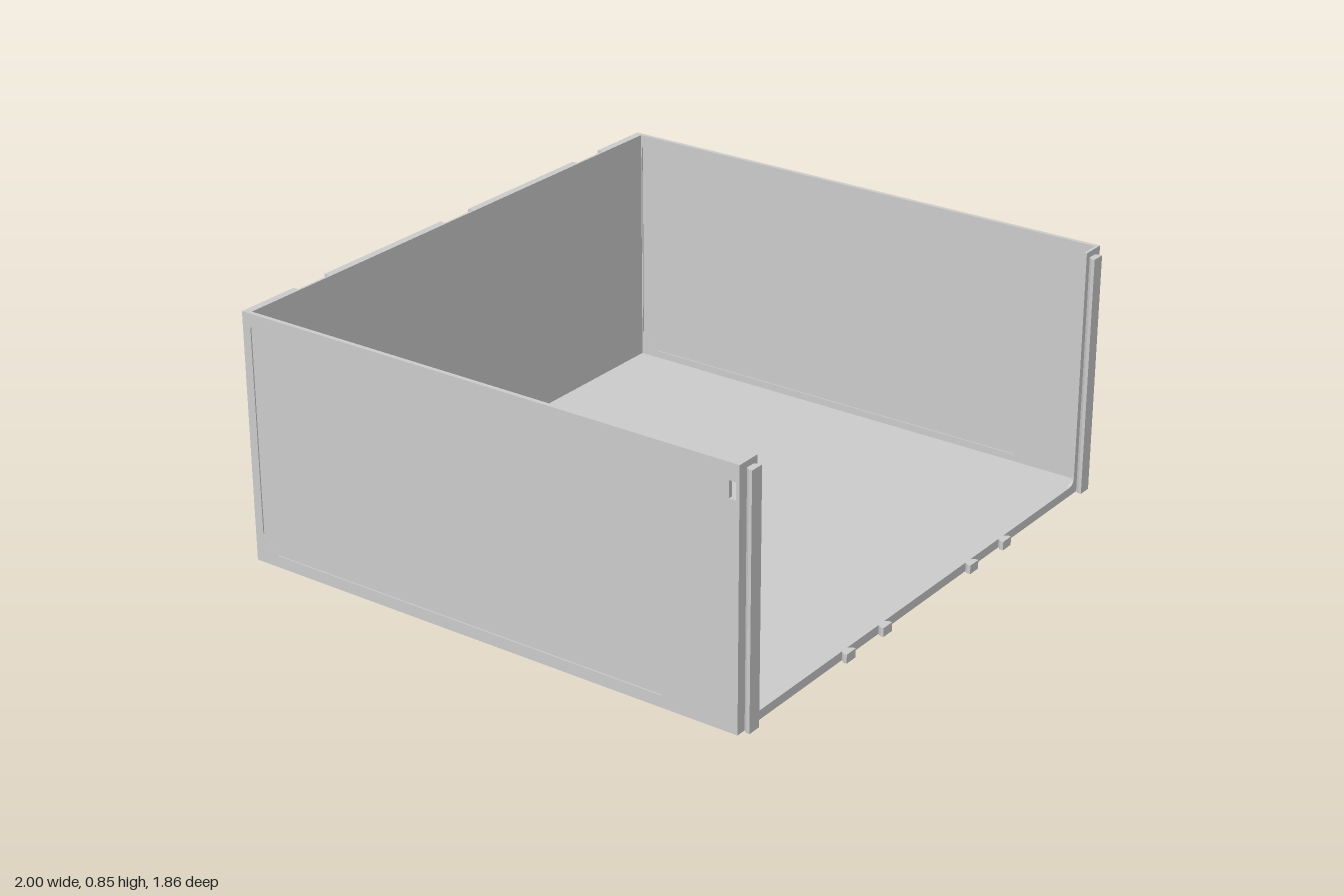
import * as THREE from 'three';

const H = 0.845, FRONT = 0.907;
const mat = new THREE.MeshStandardMaterial({ color: 0xcccccc, flatShading: true, side: THREE.DoubleSide });
const vecs = (pts) => pts.map(([x, y]) => new THREE.Vector2(x, y));
const extrude = (shape, depth) => new THREE.ExtrudeGeometry(shape, { depth, bevelEnabled: false, curveSegments: 6 });

function outlineShape(points, holes = []) {
  const s = new THREE.Shape(vecs(points));
  s.holes = holes.map((h) => new THREE.Path(vecs(h)));
  return s;
}

// Rectangle with chamfered bottom corners
const recess = (x0, x1, y0, y1, c) => [
  [x0 + c, y0], [x1 - c, y0], [x1, y0 + c], [x1, y1], [x0, y1], [x0, y0 + c],
];

// Sloped strip joining two matching outlines at different depths
function slope(outer, inner, zOuter, zInner) {
  const pos = [], idx = [], n = outer.length;
  outer.forEach(([x, y], i) => {
    pos.push(x, y, zOuter, inner[i][0], inner[i][1], zInner);
    const a = 2 * i, b = 2 * ((i + 1) % n);
    idx.push(a, a + 1, b, b, a + 1, b + 1);
  });
  const g = new THREE.BufferGeometry();
  g.setAttribute('position', new THREE.Float32BufferAttribute(pos, 3));
  g.setIndex(idx);
  g.computeVertexNormals();
  return g;
}

export function createModel() {
  const root = new THREE.Group();
  const add = (name, geo, x = 0, y = 0, z = 0) => {
    const m = new THREE.Mesh(geo, mat);
    m.name = name;
    m.position.set(x, y, z);
    root.add(m);
    return m;
  };

  // Floor and plain inner skin of the back wall
  add('floor', new THREE.BoxGeometry(1.98, 0.015, 1.815), 0, 0.0075, -0.003);
  add('backPanel', new THREE.BoxGeometry(1.98, H, 0.008), 0, H / 2, -0.908);

  // Side walls: frame with a shallow recessed panel and a small through slot (drawn in -z, y)
  const panel = [
    [-0.845, 0.73], [-0.78, 0.8], [0.9, 0.8], [0.9, 0.1], [0.84, 0.04], [-0.64, 0.04], [-0.845, 0.245],
  ];
  const slot = [[-0.895, 0.735], [-0.872, 0.735], [-0.872, 0.79], [-0.895, 0.79]];
  const sideOutline = [[-FRONT, 0], [0.912, 0], [0.912, H], [-FRONT, H]];
  const frameGeo = extrude(outlineShape(sideOutline, [panel, slot]), 0.015).rotateY(Math.PI / 2);
  const panelGeo = extrude(outlineShape(panel), 0.007).rotateY(Math.PI / 2);
  for (const [side, x] of [['left', 0.985], ['right', -1]]) {
    add(side + 'WallFrame', frameGeo, x);
    add(side + 'WallPanel', panelGeo, x + 0.004);
  }

  // Front flange: thin U with rounded inner corners
  const u = new THREE.Shape();
  u.moveTo(-1, 0);
  u.lineTo(1, 0);
  u.lineTo(1, H);
  u.lineTo(0.915, H);
  u.lineTo(0.915, 0.06);
  u.quadraticCurveTo(0.915, 0.03, 0.885, 0.03);
  u.lineTo(-0.885, 0.03);
  u.quadraticCurveTo(-0.915, 0.03, -0.915, 0.06);
  u.lineTo(-0.915, H);
  u.lineTo(-1, H);
  add('frontFlange', extrude(u, 0.01), 0, 0, FRONT - 0.01);

  // Dovetail rails and tabs on the front
  const dovetail = (h) => extrude(outlineShape([
    [-0.015, 0], [-0.024, -0.012], [-0.024, -0.023], [0.024, -0.023], [0.024, -0.012], [0.015, 0],
  ]), h).rotateX(-Math.PI / 2);
  for (const x of [-0.95, 0.95]) add('frontRail', dovetail(0.825), x, 0, FRONT);
  for (const x of [-0.45, -0.25, 0.25, 0.45]) add('frontTab', dovetail(0.03), x, 0, FRONT);

  // Ribbed back: three open top pockets, each above a narrow recess, between wide recesses
  const spans = [];
  for (const s of [-1, 1]) {
    spans.push([s * 0.885, 0.09, 0.8, 0.03], [s * 0.35, 0.265, 0.8, 0.05]);
  }
  const pockets = [-0.7, 0, 0.7];
  for (const x of pockets) spans.push([x, 0.07, 0.63, 0.02]);
  const outer = spans.map(([x, w, top, c]) => recess(x - w, x + w, 0.025, top, c));
  const edge = [[-1, 0], [1, 0], [1, H]];
  for (const x of [...pockets].reverse()) {
    edge.push([x + 0.07, H], [x + 0.07, 0.67], [x - 0.07, 0.67], [x - 0.07, H]);
  }
  edge.push([-1, H]);
  add('backRibs', extrude(outlineShape(edge, outer), 0.02), 0, 0, -0.931);
  spans.forEach(([x, w, top, c], i) => {
    const b = 0.025;
    const inner = recess(x - w + b, x + w - b, 0.025 + b, top - b, c);
    add('recessSlope', slope(outer[i], inner, -0.931, -0.912));
  });
  return root;
}
